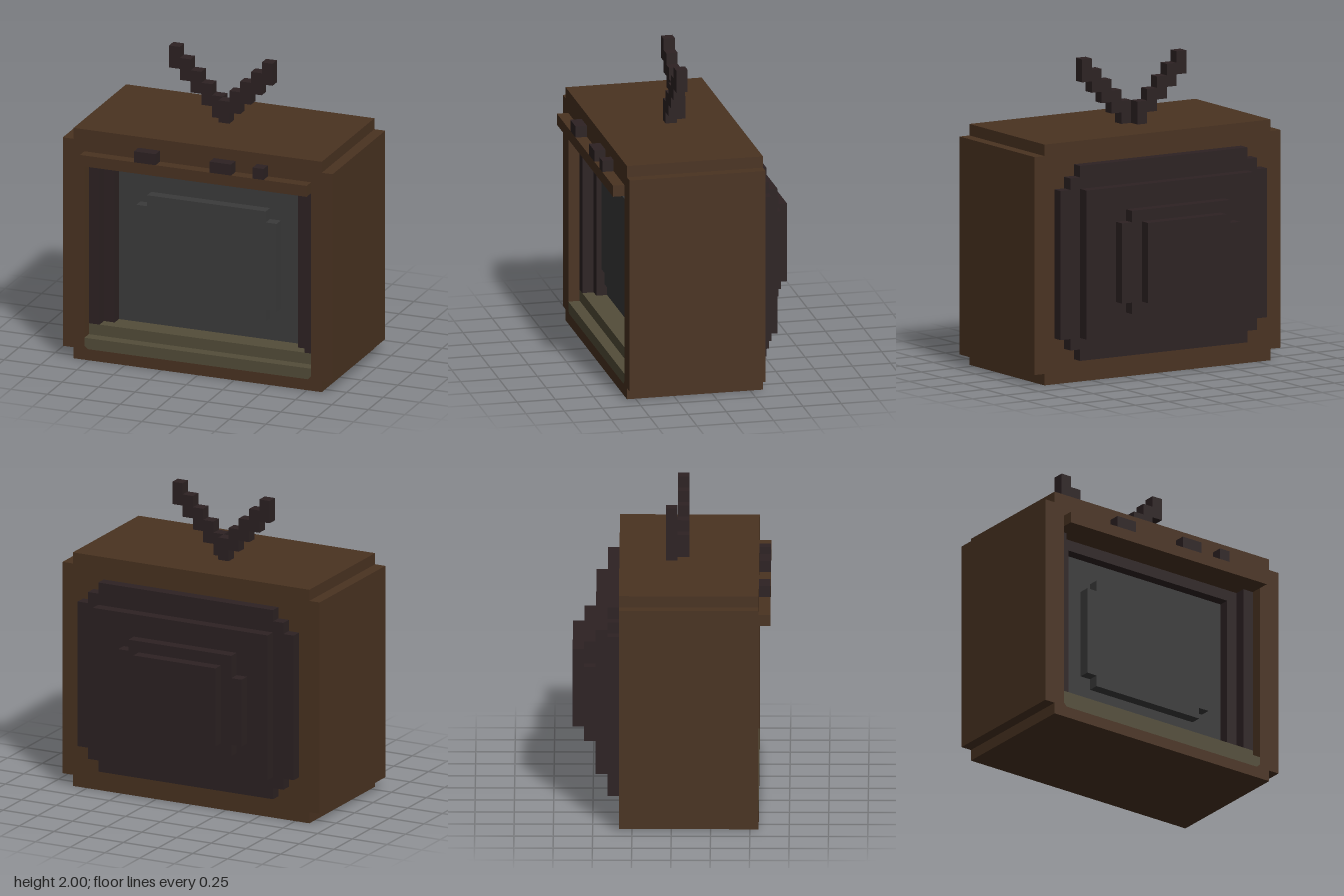
import * as THREE from 'three';

const U = 2 / 27; // one block

const mat = (name, color) => Object.assign(new THREE.MeshStandardMaterial({ color }), { name });

export function createModel() {
  const wood = mat('brown wood', 0x4a3321);
  const dark = mat('dark plastic', 0x2d2223);
  const glass = mat('grey glass', 0x3b3b3b);
  const olive = mat('olive panel', 0x534d39);

  const model = new THREE.Group();
  model.name = 'television';

  const add = (parent, name, geometry, material) => {
    const mesh = new THREE.Mesh(geometry, material);
    mesh.name = name;
    parent.add(mesh);
    return mesh;
  };
  const group = (name) => {
    const g = new THREE.Group();
    g.name = name;
    model.add(g);
    return g;
  };
  // Box from its limits, in blocks
  const box = (parent, name, material, x0, x1, y0, y1, z0, z1) => {
    const geometry = new THREE.BoxGeometry((x1 - x0) * U, (y1 - y0) * U, (z1 - z0) * U);
    geometry.translate((x0 + x1) / 2 * U, (y0 + y1) / 2 * U, (z0 + z1) / 2 * U);
    return add(parent, name, geometry, material);
  };
  const outline = (points) => new THREE.Shape(points.map(([x, y]) => new THREE.Vector2(x * U, y * U)));
  // Outline pushed from z0 to z1, in blocks
  const slab = (parent, name, material, shape, z0, z1) => {
    const geometry = new THREE.ExtrudeGeometry(shape, { depth: (z1 - z0) * U, bevelEnabled: false });
    geometry.translate(0, 0, z0 * U);
    return add(parent, name, geometry, material);
  };
  // Stepped-corner outline, symmetric in x; rows are [half width, bottom, top], widest first
  const stepped = (rows) => {
    const right = [];
    rows.forEach(([w, , top], i) => {
      if (i) right.push([w, rows[i - 1][2]]);
      right.push([w, top]);
    });
    const lower = [];
    rows.forEach(([w, bottom], i) => {
      if (i) lower.push([w, rows[i - 1][1]]);
      lower.push([w, bottom]);
    });
    const half = [...lower.reverse(), ...right];
    return outline([...half, ...half.map(([x, y]) => [-x, y]).reverse()]);
  };

  // Cabinet: solid back block and a front frame with the opening
  const cabinetRows = [[12.5, 1, 20], [11.5, 0, 21]];
  const cabinet = group('cabinet');
  slab(cabinet, 'cabinetBlock', wood, stepped(cabinetRows), -4.5, 4.5);
  const frame = stepped(cabinetRows);
  const cut = 0.3;
  frame.holes.push(outline([[-10.5 + cut, 1], [-10.5, 1 + cut], [-10.5, 18], [10.5, 18],
    [10.5, 1 + cut], [10.5 - cut, 1]]));
  slab(cabinet, 'frontFrame', wood, frame, 4.5, 7.5);
  box(cabinet, 'controlShelf', wood, -10.5, 10.5, 18, 19, 7.5, 8.5);

  // Knobs on the shelf
  const knobs = group('knobs');
  for (const [x0, x1] of [[-5.5, -3.5], [1.5, 3.5], [5.5, 6.5]]) {
    box(knobs, 'knob', dark, x0, x1, 19, 20, 7.5, 8.5);
  }

  // Stepped dark surround inside the opening
  const surround = group('screenSurround');
  for (const s of [-1, 1]) {
    box(surround, 'outerPost', dark, s * 10 - 0.5, s * 10 + 0.5, 3, 18, 4.5, 6.5);
    box(surround, 'innerPost', dark, s * 9 - 0.5, s * 9 + 0.5, 3, 18, 4.5, 5.5);
  }
  box(surround, 'topBar', dark, -8.5, 8.5, 17, 18, 4.5, 5.5);

  // Screen with its bulge
  const screen = group('screen');
  box(screen, 'screenPlate', glass, -8.5, 8.5, 3, 17, 4.45, 4.55);
  slab(screen, 'screenBulge', glass, stepped([[6.5, 6, 14], [5.5, 5, 15]]), 4.55, 5.5);

  // Two-step panel below the screen
  const panel = group('lowerPanel');
  slab(panel, 'panelStep', olive, outline([[-10.5 + cut, 1], [10.5 - cut, 1], [10.5, 1 + cut],
    [10.5, 2], [-10.5, 2], [-10.5, 1 + cut]]), 4.5, 7.5);
  box(panel, 'panelLedge', olive, -10.5, 10.5, 2, 3, 4.5, 6.5);

  // Rear tube housing, narrowing in four layers
  const back = group('rearHousing');
  slab(back, 'rearLayer', dark, stepped([[10.5, 4, 17], [9.5, 3, 18], [8.5, 2, 19]]), -5.5, -4.5);
  box(back, 'rearLayer', dark, -8.5, 8.5, 4, 17, -6.5, -5.5);
  slab(back, 'rearLayer', dark, outline([[-5.5, 6], [4.5, 6], [4.5, 7], [5.5, 7], [5.5, 14], [4.5, 14],
    [4.5, 15], [-5.5, 15], [-5.5, 13], [-6.5, 13], [-6.5, 7], [-5.5, 7]]), -7.5, -6.5);
  box(back, 'rearLayer', dark, -4.5, 3.5, 7, 14, -8.5, -7.5);

  // Antenna arms climbing outward in steps, one behind the other
  const antenna = group('antenna');
  for (let i = 0; i < 5; i++) {
    box(antenna, 'rightArm', dark, -1.5 - i, -0.5 - i, 21 + i, 23 + i, -0.5, 0.5);
    box(antenna, 'leftArm', dark, -0.5 + i, 0.5 + i, 21 + i, 23 + i, 0.5, 1.5);
  }
  return model;
}
